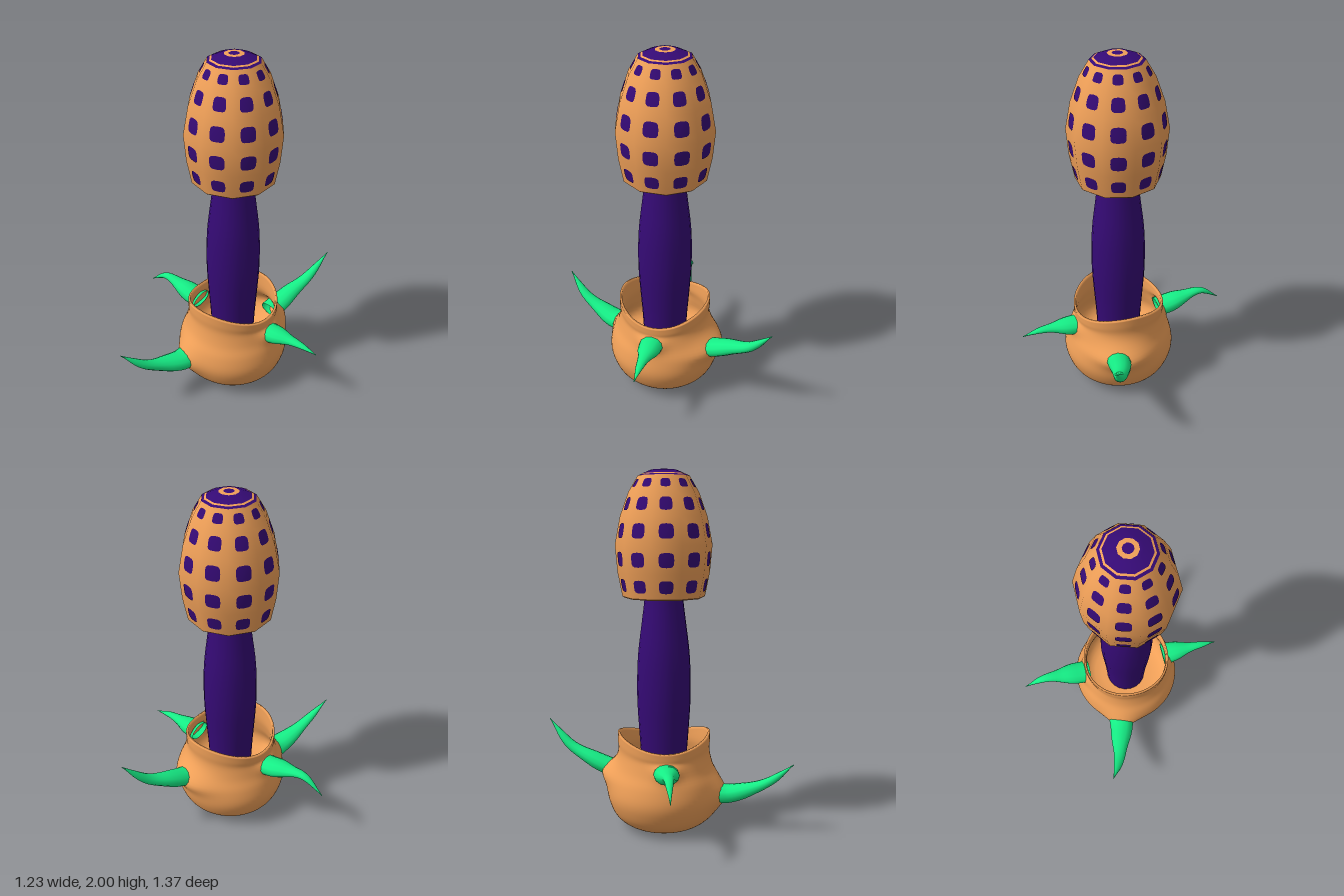
import * as THREE from 'three';
import { mergeVertices } from 'three/addons/utils/BufferGeometryUtils.js';

const AXIS = new THREE.Vector3(0.033, 0, -0.018); // shared axis of stalk, cap and cup
const mat = (color) => new THREE.MeshStandardMaterial({ color });
const ORANGE = mat(0xf0a058), PURPLE = mat(0x350a75), GREEN = mat(0x16ee86);
GREEN.side = ORANGE.side = THREE.DoubleSide;

const vec2 = (list) => list.map(([x, y]) => new THREE.Vector2(x, y));
const smooth = (list, n) => new THREE.SplineCurve(vec2(list)).getPoints(n);

function add(group, name, geometry, material, onAxis = true) {
  const mesh = new THREE.Mesh(geometry, material);
  mesh.name = name;
  if (onAxis) mesh.position.copy(AXIS);
  group.add(mesh);
}

// Swellings on the cup at the thorn roots: angle, height, size, angular and vertical spread
const SWELLINGS = [
  [0, 0.385, 0.04, 0.25, 0.05],
  [Math.PI, 0.39, 0.035, 0.25, 0.05],
  [Math.atan2(0.35, -0.113), 0.21, 0.045, 0.3, 0.09],
  [Math.atan2(-0.31, 0.08), 0.31, 0.06, 0.5, 0.065],
];

// Hollow cup with a saddle-shaped rim
function cupGeometry() {
  const outer = smooth([[0, 0], [0.13, 0.003], [0.21, 0.02], [0.275, 0.07], [0.31, 0.14], [0.322, 0.21],
    [0.307, 0.29], [0.278, 0.36], [0.26, 0.44], [0.262, 0.5], [0.262, 0.55]], 44);
  const inner = smooth([[0.25, 0.553], [0.245, 0.45], [0.26, 0.36], [0.27, 0.27], [0.2, 0.2], [0, 0.19]], 20);
  let geo = new THREE.LatheGeometry([...outer, ...inner], 64);
  const p = geo.attributes.position;
  for (let i = 0; i < p.count; i++) {
    const x = p.getX(i), y = p.getY(i), z = p.getZ(i);
    const r = Math.hypot(x, z);
    if (r < 0.01) continue;
    const a = Math.atan2(z, x);
    let push = 0;
    for (const [a0, y0, size, da, dy] of SWELLINGS) {
      const d = Math.atan2(Math.sin(a - a0), Math.cos(a - a0));
      push += size * Math.exp(-((d / da) ** 2) - ((y - y0) / dy) ** 2);
    }
    const k = 1 + (push * THREE.MathUtils.smoothstep(r, 0.15, 0.25)) / r;
    const dip = 0.065 * Math.cos(a) ** 2 * THREE.MathUtils.smoothstep(y, 0.38, 0.55);
    p.setXYZ(i, x * k, y - dip, z * k);
  }
  geo.deleteAttribute('uv');
  geo.deleteAttribute('normal');
  geo = mergeVertices(geo, 1e-5);
  geo.computeVertexNormals();
  return geo;
}

// Curved thorn: a tube squeezed to a point, a little flatter than wide
function thornGeometry(points, radii) {
  const curve = new THREE.CatmullRomCurve3(points.map((q) => new THREE.Vector3(...q)));
  const N = 20, S = 12;
  const geo = new THREE.TubeGeometry(curve, N, 1, S);
  const p = geo.attributes.position, v = new THREE.Vector3();
  const taper = new THREE.SplineCurve(radii.map((r, i) => new THREE.Vector2(i, r)));
  for (let i = 0; i <= N; i++) {
    const c = curve.getPointAt(i / N);
    const r = Math.max(taper.getPoint(i / N).y, 0.002);
    for (let j = 0; j <= S; j++) {
      const k = i * (S + 1) + j;
      v.fromBufferAttribute(p, k).sub(c).multiplyScalar(r);
      v.y *= 0.72;
      v.add(c);
      p.setXYZ(k, v.x, v.y, v.z);
    }
  }
  geo.deleteAttribute('uv');
  geo.deleteAttribute('normal');
  const merged = mergeVertices(geo, 1e-5);
  merged.computeVertexNormals();
  return merged;
}

// One rounded square spot in the middle of every facet of the cap
function spotsGeometry(cap, rows, sides) {
  const pos = [], nor = [], index = [], n = rows + 1, RIM = 16;
  const mix = (attr, k, u, v) => {
    const at = (i) => new THREE.Vector3().fromBufferAttribute(attr, i);
    const low = at(k).lerp(at(k + n), u), high = at(k + 1).lerp(at(k + n + 1), u);
    return low.lerp(high, v);
  };
  const put = (k, u, v) => {
    const normal = mix(cap.attributes.normal, k, u, v).normalize();
    pos.push(...mix(cap.attributes.position, k, u, v).addScaledVector(normal, 0.003));
    nor.push(...normal);
  };
  const soft = (t) => Math.sign(t) * Math.abs(t) ** 0.55;
  for (let s = 0; s < sides; s++) {
    for (let row = 0; row < rows; row++) {
      const k = s * n + row, base = pos.length / 3;
      put(k, 0.5, 0.5);
      for (let i = 0; i < RIM; i++) {
        const a = (i / RIM) * Math.PI * 2;
        put(k, 0.5 + 0.25 * soft(Math.cos(a)), 0.5 + 0.26 * soft(Math.sin(a)));
        index.push(base, base + 1 + i, base + 1 + ((i + 1) % RIM));
      }
    }
  }
  const geo = new THREE.BufferGeometry();
  geo.setAttribute('position', new THREE.Float32BufferAttribute(pos, 3));
  geo.setAttribute('normal', new THREE.Float32BufferAttribute(nor, 3));
  geo.setIndex(index);
  return geo;
}

export function createModel() {
  const model = new THREE.Group();
  model.name = 'spottedMushroom';

  add(model, 'cup', cupGeometry(), ORANGE);

  const stalk = [[0.12, 0.18], [0.13, 0.4], [0.14, 0.55], [0.15, 0.72], [0.15, 0.88], [0.142, 1.02],
    [0.122, 1.18], [0.106, 1.32], [0.1, 1.5], [0.095, 1.9]];
  add(model, 'stalk', new THREE.LatheGeometry(smooth(stalk, 28), 20), PURPLE);

  // Ten-sided cap with its hollow inside
  const SIDES = 10;
  const profile = [[0.228, 1.318], [0.254, 1.45], [0.267, 1.6], [0.238, 1.75], [0.191, 1.88], [0.14, 1.965]];
  const cap = new THREE.LatheGeometry(vec2(profile), SIDES);
  add(model, 'cap', cap, ORANGE);
  add(model, 'capSpots', spotsGeometry(cap, profile.length - 1, SIDES), PURPLE);
  const lining = [[0.09, 1.85], [0.19, 1.78], [0.235, 1.6], [0.225, 1.45], [0.21, 1.322], [0.22, 1.312], [0.228, 1.318]];
  add(model, 'capLining', new THREE.LatheGeometry(vec2(lining), SIDES), ORANGE);

  // Coloured bands on the crown
  const crown = [[0.14, 1.965], [0.126, 1.972], [0.116, 1.977], [0.07, 1.996], [0.052, 1.998], [0.028, 1.9995], [0, 2]];
  const bands = [[0, 1, PURPLE], [1, 2, ORANGE], [2, 4, PURPLE], [4, 5, ORANGE], [5, 6, PURPLE]];
  for (const [from, to, material] of bands) {
    add(model, 'crownBand', new THREE.LatheGeometry(vec2(crown.slice(from, to + 1)), SIDES), material);
  }

  // Thorns around the cup
  const thorns = {
    leftThorn: [[[0.27, 0.38, -0.02], [0.34, 0.385, -0.02], [0.42, 0.393, -0.02], [0.51, 0.395, -0.02], [0.615, 0.378, -0.022]],
      [0.07, 0.062, 0.034, 0.019, 0.002]],
    rightThorn: [[[-0.21, 0.38, -0.02], [-0.28, 0.39, -0.02], [-0.37, 0.413, -0.02], [-0.49, 0.432, -0.02], [-0.615, 0.355, -0.02]],
      [0.07, 0.066, 0.036, 0.019, 0.002]],
    frontThorn: [[[-0.07, 0.21, 0.27], [-0.08, 0.21, 0.335], [-0.11, 0.237, 0.43], [-0.15, 0.3, 0.56], [-0.212, 0.415, 0.68]],
      [0.076, 0.064, 0.04, 0.024, 0.002]],
    backThorn: [[[0.13, 0.3, -0.27], [0.14, 0.315, -0.34], [0.165, 0.36, -0.44], [0.21, 0.425, -0.56], [0.27, 0.57, -0.685]],
      [0.068, 0.062, 0.042, 0.025, 0.002]],
  };
  for (const [name, [points, radii]] of Object.entries(thorns)) {
    add(model, name, thornGeometry(points, radii), GREEN, false);
  }
  return model;
}
